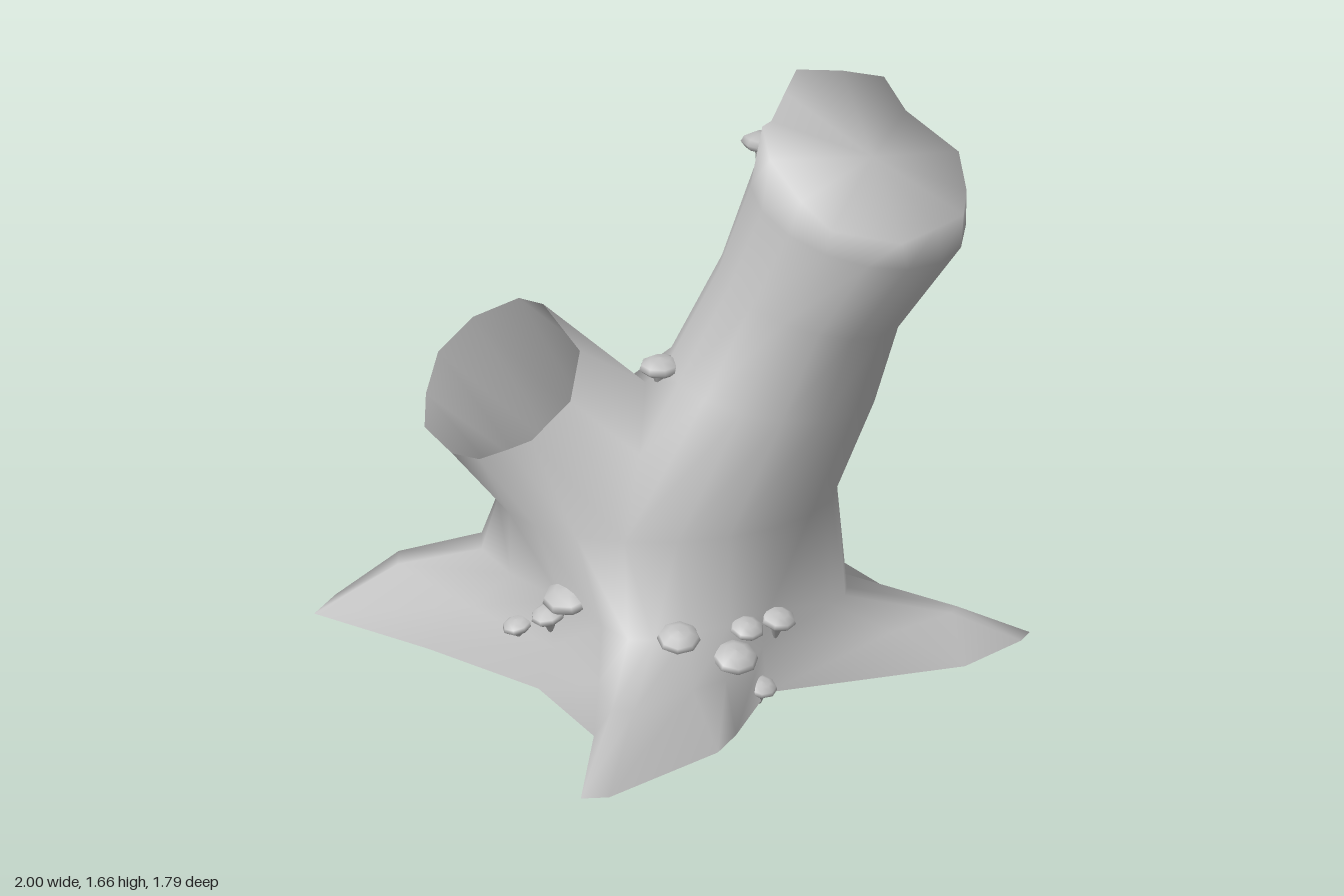
import * as THREE from 'three';

const grey = new THREE.MeshStandardMaterial({ color: 0xc0c0c0, side: THREE.DoubleSide });
grey.name = 'plain grey';

// Collects shared vertices so the joined skins shade smoothly
class Skin {
  constructor() { this.pos = []; this.idx = []; }
  ring(points) {
    return points.map(p => { this.pos.push(...p); return this.pos.length / 3 - 1; });
  }
  join(a, b) {
    const n = a.length;
    for (let i = 0; i < n; i++) {
      const j = (i + 1) % n;
      this.idx.push(a[i], b[i], a[j], a[j], b[i], b[j]);
    }
  }
  fan(ring, centre) {
    const [c] = this.ring([centre]);
    ring.forEach((v, i) => this.idx.push(c, ring[(i + 1) % ring.length], v));
  }
  mesh(name) {
    const g = new THREE.BufferGeometry();
    g.setAttribute('position', new THREE.Float32BufferAttribute(this.pos, 3));
    g.setIndex(this.idx);
    g.computeVertexNormals();
    const m = new THREE.Mesh(g, grey);
    m.name = name;
    return m;
  }
}

// Tilted ellipse, running from +x towards +z
function oval(n, start, [cx, cy, cz], rx, rz, slopeX = 0, slopeZ = 0) {
  return Array.from({ length: n }, (_, i) => {
    const a = start + (i / n) * Math.PI * 2;
    const dx = rx * Math.cos(a), dz = rz * Math.sin(a);
    return [cx + dx, cy + slopeX * dx + slopeZ * dz, cz + dz];
  });
}

// Root outline on the ground [x, z]
const ground = [
  [1, 0], [0.97, 0.05], [0.8, 0.19], [0.23, 0.3], [0.12, 0.55],
  [0.06, 0.65], [-0.27, 0.895], [-0.35, 0.895], [-0.28, 0.52], [-0.41, 0.22],
  [-0.7, -0.05], [-1, -0.29], [-0.93, -0.4], [-0.4, -0.4], [-0.1, -0.55],
  [0.25, -0.9], [0.34, -0.84], [0.26, -0.48], [0.4, -0.25], [0.8, -0.03],
].map(([x, z]) => [x, 0.017, z]);

// Middle of the roots
const ridge = [
  [0.79, 0.13, 0.04], [0.77, 0.13, 0.08], [0.6, 0.12, 0.16], [0.22, 0.15, 0.28], [0.1, 0.14, 0.45],
  [0, 0.15, 0.52], [-0.18, 0.16, 0.66], [-0.24, 0.16, 0.64], [-0.26, 0.14, 0.44], [-0.37, 0.14, 0.2],
  [-0.58, 0.16, -0.02], [-0.77, 0.2, -0.22], [-0.76, 0.2, -0.3], [-0.36, 0.16, -0.36], [-0.08, 0.16, -0.47],
  [0.16, 0.17, -0.66], [0.22, 0.17, -0.64], [0.26, 0.14, -0.42], [0.38, 0.12, -0.24], [0.64, 0.13, -0.03],
];

// Where the roots meet the trunk
const collar = [
  [0.48, 0.2, 0.03], [0.47, 0.2, 0.08], [0.42, 0.21, 0.15], [0.24, 0.25, 0.25], [0.12, 0.25, 0.33],
  [0, 0.25, 0.37], [-0.1, 0.25, 0.4], [-0.17, 0.25, 0.39], [-0.24, 0.26, 0.32], [-0.34, 0.27, 0.17],
  [-0.47, 0.27, 0], [-0.54, 0.28, -0.14], [-0.53, 0.28, -0.24], [-0.33, 0.27, -0.34], [-0.08, 0.25, -0.43],
  [0.1, 0.24, -0.54], [0.17, 0.24, -0.52], [0.27, 0.24, -0.39], [0.38, 0.22, -0.24], [0.47, 0.2, -0.06],
];

// Open end of the hollow side branch
const branchRim = [
  [-0.42, 0.75, 0.11], [-0.48, 0.71, 0.08], [-0.56, 0.65, 0.02], [-0.63, 0.63, -0.06],
  [-0.7, 0.67, -0.15], [-0.69, 0.74, -0.22], [-0.65, 0.84, -0.28], [-0.55, 0.93, -0.31],
  [-0.42, 0.99, -0.3], [-0.36, 1.02, -0.2], [-0.27, 0.95, -0.04], [-0.31, 0.87, 0.11],
];

// Ragged edge of the cut trunk, from the back left round to the right and front
const trunkRim = [
  [0.33, 1.63, -0.26], [0.37, 1.66, -0.34], [0.5, 1.64, -0.36], [0.62, 1.61, -0.37],
  [0.68, 1.51, -0.35], [0.82, 1.43, -0.24], [0.825, 1.41, -0.04], [0.81, 1.37, 0.03],
  [0.73, 1.38, 0.12], [0.62, 1.38, 0.21], [0.52, 1.4, 0.2], [0.42, 1.43, 0.21],
  [0.34, 1.49, 0.14], [0.26, 1.58, 0.05], [0.25, 1.62, -0.08], [0.28, 1.61, -0.13],
];

function stump() {
  const s = new Skin();
  // Roots up to the waist
  const rings = [ground, ridge, collar, oval(20, 0, [-0.02, 0.48, -0.07], 0.48, 0.32)].map(r => s.ring(r));
  for (let i = 0; i < 3; i++) s.join(rings[i], rings[i + 1]);

  // The waist splits at a saddle into trunk and branch
  const waist = rings[3];
  const saddle = s.ring([[-0.12, 0.72, 0.17], [-0.08, 0.82, -0.08], [-0.12, 0.72, -0.29]]);
  const trunkFoot = [...waist.slice(14), ...waist.slice(0, 7), ...saddle];
  const branchFoot = [...waist.slice(6, 15), ...[...saddle].reverse()];
  s.join(branchFoot, s.ring(branchRim));

  // Leaning trunk, closed by a folded cut face
  const start = Math.PI * 1.25;
  let below = trunkFoot;
  for (const r of [
    oval(16, start, [0.28, 0.83, -0.08], 0.3, 0.29, -0.15),
    oval(16, start, [0.385, 1.09, -0.08], 0.26, 0.27, -0.3),
    oval(16, start, [0.52, 1.36, -0.07], 0.305, 0.29, -0.25, -0.15),
    trunkRim,
  ]) {
    const next = s.ring(r);
    s.join(below, next);
    below = next;
  }
  s.fan(below, [0.56, 1.53, -0.04]);
  return s.mesh('stump');
}

// Mushroom caps: x, y, z, radius
const mushrooms = [
  [-0.32, 0.29, 0.19, 0.078], [-0.38, 0.23, 0.18, 0.05], [-0.46, 0.165, 0.11, 0.045],
  [-0.03, 0.26, 0.41, 0.062], [0.13, 0.19, 0.41, 0.066], [0.17, 0.24, 0.33, 0.05],
  [0.265, 0.23, 0.26, 0.052], [0.21, 0.062, 0.35, 0.045], [-0.04, 0.88, -0.06, 0.062],
  [0.03, 0.62, -0.36, 0.072], [0.13, 0.56, -0.39, 0.052], [0.18, 0.6, -0.39, 0.045],
  [-0.39, 0.23, -0.36, 0.077], [-0.28, 0.21, -0.4, 0.055], [0.28, 1.45, -0.3, 0.072],
];

// Tapered stalk under a flat, wide cap
const mushroomProfile = [
  [0, -1.35], [0.16, -1.32], [0.4, -0.3], [0.8, -0.25], [1, -0.05], [0.9, 0.18], [0.5, 0.4], [0, 0.46],
].map(p => new THREE.Vector2(...p));

function fungi() {
  const g = new THREE.Group();
  g.name = 'mushrooms';
  const geo = new THREE.LatheGeometry(mushroomProfile, 8);
  mushrooms.forEach(([x, y, z, r], i) => {
    const m = new THREE.Mesh(geo, grey);
    m.name = 'mushroom';
    m.position.set(x, y, z);
    m.scale.setScalar(r);
    // Lean away from the bark
    const out = new THREE.Vector3(x * 0.6, 1, z * 0.8).normalize();
    m.quaternion.setFromUnitVectors(new THREE.Vector3(0, 1, 0), out);
    m.rotateY(i);
    g.add(m);
  });
  return g;
}

export function createModel() {
  const model = new THREE.Group();
  model.name = 'treeStump';
  model.add(stump(), fungi());
  return model;
}
